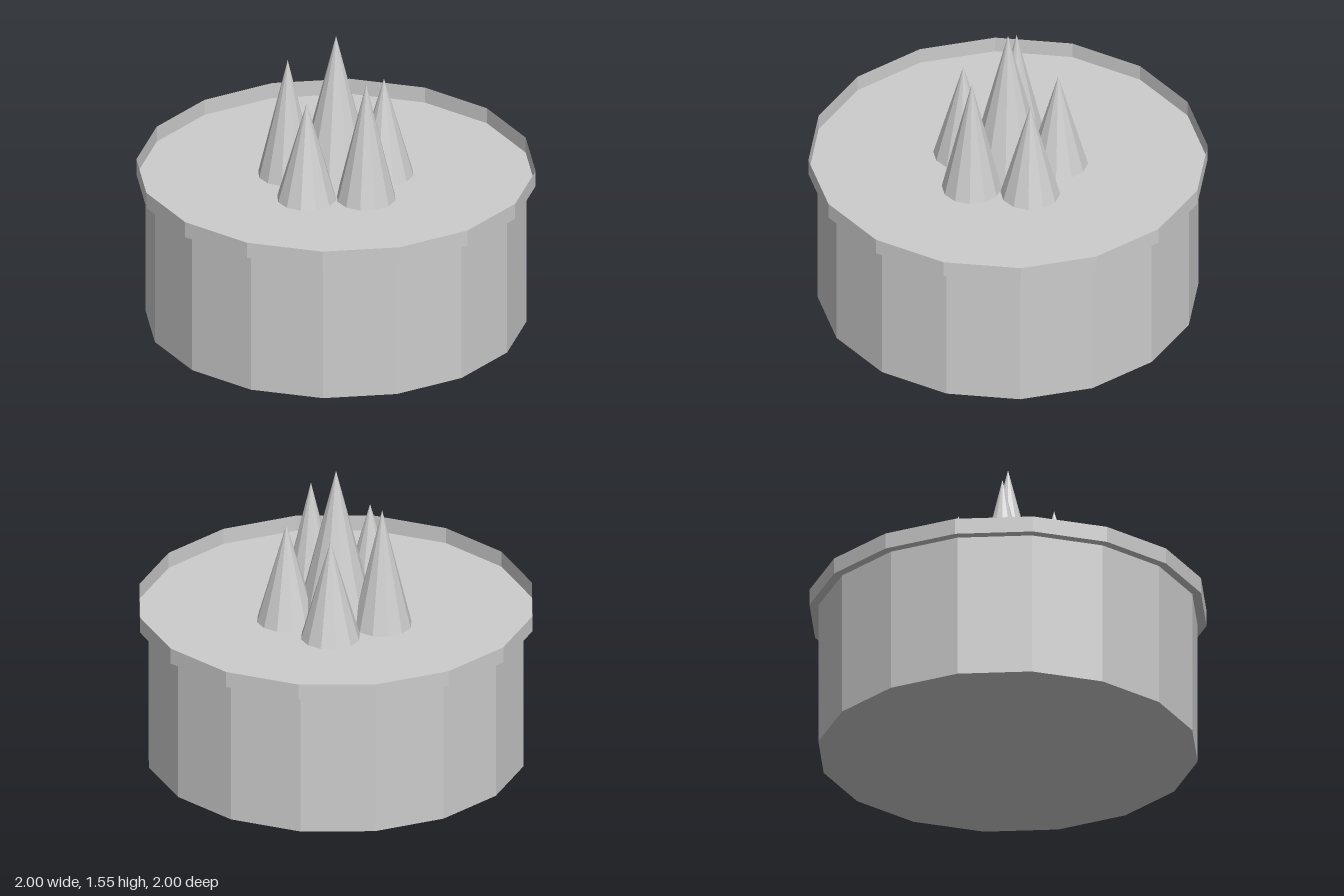
import * as THREE from 'three';

export function createModel() {
  const model = new THREE.Group();
  const grey = new THREE.MeshStandardMaterial({ color: 0xcccccc, flatShading: true, side: THREE.DoubleSide });
  grey.name = 'grey';

  const SIDES = 16, FLOOR = 0.75, RIM_TOP = 0.833;

  function add(name, geometry, x, y, z) {
    const mesh = new THREE.Mesh(geometry, grey);
    mesh.name = name;
    mesh.position.set(x, y, z);
    model.add(mesh);
    return mesh;
  }

  // Drum-shaped base, closed above by the wider floor
  add('base', new THREE.CylinderGeometry(0.955, 0.955, FLOOR, SIDES), 0, FLOOR / 2 - 0.001, 0);

  // Flat floor and the thin upright lip around it
  add('floor', new THREE.CircleGeometry(1, SIDES), 0, FLOOR, 0).rotation.x = -Math.PI / 2;
  add('rim', new THREE.CylinderGeometry(1, 1, RIM_TOP - FLOOR, SIDES, 1, true), 0, (RIM_TOP + FLOOR) / 2, 0);

  // Spikes: a tall one in the middle, five around it of alternating height
  function addSpike(name, radius, height, x, z) {
    add(name, new THREE.ConeGeometry(radius, height, 12, 1, true), x, FLOOR + height / 2, z);
  }
  addSpike('centreSpike', 0.2, 0.8, 0, 0);
  for (let i = 0; i < 5; i++) {
    const angle = (i / 5) * Math.PI * 2;
    const height = i % 2 ? 0.63 : 0.525;
    addSpike(`outerSpike${i + 1}`, 0.15, height, 0.253 * Math.cos(angle), 0.253 * Math.sin(angle));
  }

  return model;
}
